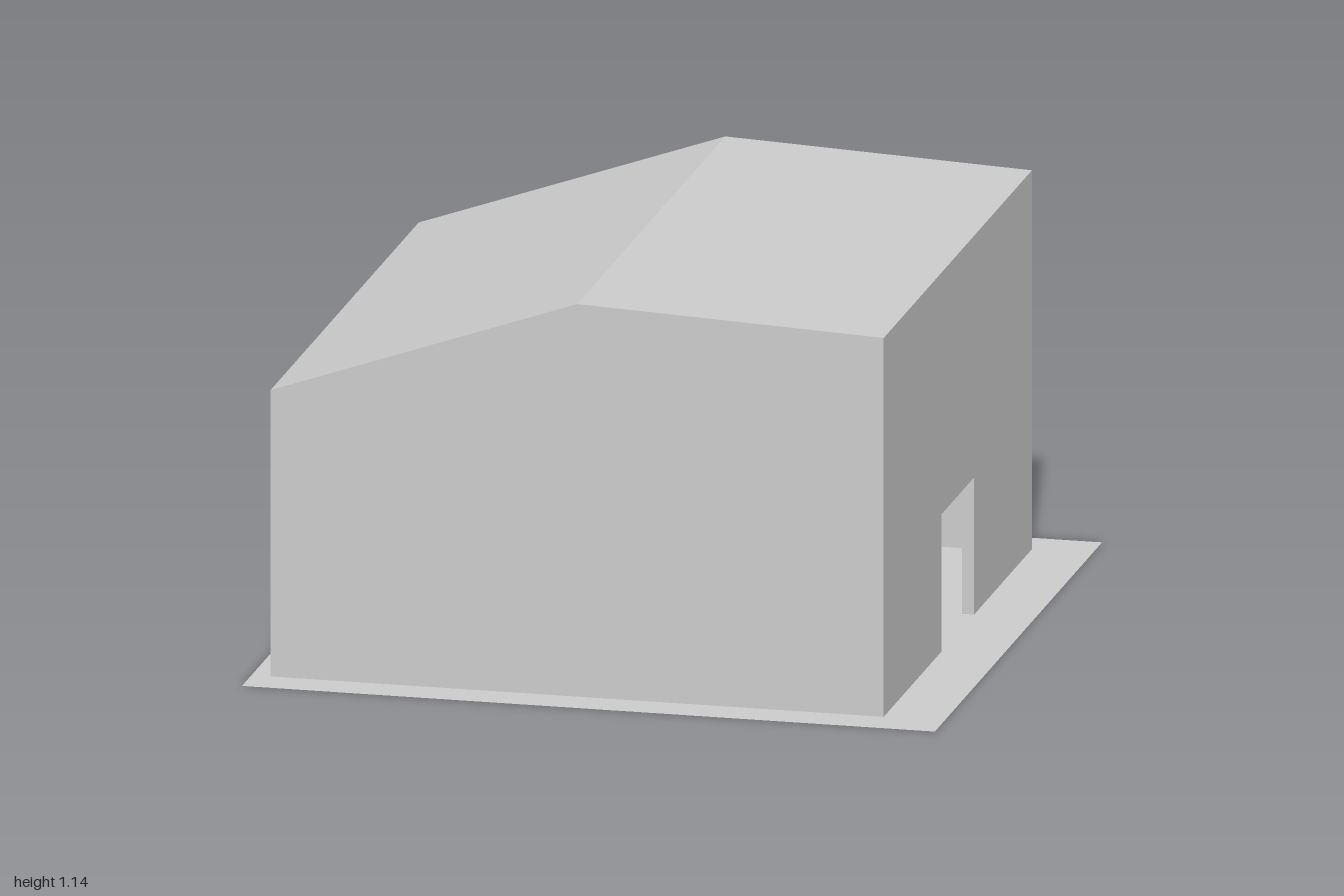
import * as THREE from 'three';

const XL = -0.945, XR = 0.825, XC = -0.06, ZH = 0.886; // outer extents of the hall
const EAVE_L = 0.835, EAVE_R = 1.105, RIDGE = 1.145;
const T = 0.035; // wall and roof thickness
const DOOR_W = 0.39, DOOR_H = 0.4;

const material = new THREE.MeshStandardMaterial({ color: 0xcccccc, flatShading: true });

function shapeOf(points) {
  return new THREE.Shape(points.map(([x, y]) => new THREE.Vector2(x, y)));
}

function extrude(points, depth) {
  return new THREE.ExtrudeGeometry(shapeOf(points), { depth, bevelEnabled: false });
}

export function createModel() {
  const model = new THREE.Group();
  model.name = 'hall';

  function add(name, geometry, x = 0, y = 0, z = 0, mat = material) {
    const mesh = new THREE.Mesh(geometry, mat);
    mesh.name = name;
    mesh.position.set(x, y, z);
    model.add(mesh);
    return mesh;
  }

  // Ground slab, a thin sheet seen from both sides
  const sheet = material.clone();
  sheet.side = THREE.DoubleSide;
  add('groundSlab', new THREE.PlaneGeometry(2, 2).rotateX(-Math.PI / 2), 0, 0, 0, sheet);

  // Front and back gable walls, up to the underside of the roof
  const gable = [[XL, 0], [XR, 0], [XR, EAVE_R - T], [XC, RIDGE - T], [XL, EAVE_L - T]];
  add('frontWall', extrude(gable, T), 0, 0, ZH - T);
  add('backWall', extrude(gable, T), 0, 0, -ZH);

  // Low side wall
  const inner = 2 * (ZH - T);
  const lowH = EAVE_L - T;
  add('lowSideWall', new THREE.BoxGeometry(T, lowH, inner), XL + T / 2, lowH / 2, 0);

  // High side wall, its outline running around the doorway
  const h = EAVE_R - T, w = inner / 2, d = DOOR_W / 2;
  const doorWall = [[-w, 0], [-d, 0], [-d, DOOR_H], [d, DOOR_H], [d, 0], [w, 0], [w, h], [-w, h]];
  add('doorSideWall', extrude(doorWall, T).rotateY(Math.PI / 2), XR - T, 0, 0);

  // Roof with two unequal slopes
  const roof = [
    [XL, EAVE_L - T], [XC, RIDGE - T], [XR, EAVE_R - T],
    [XR, EAVE_R], [XC, RIDGE], [XL, EAVE_L],
  ];
  add('roof', extrude(roof, 2 * ZH), 0, 0, -ZH);

  // Small upright block standing inside, in line with the doorway
  add('innerPost', new THREE.BoxGeometry(0.07, 0.25, 0.07), XC, 0.125, 0);

  return model;
}
